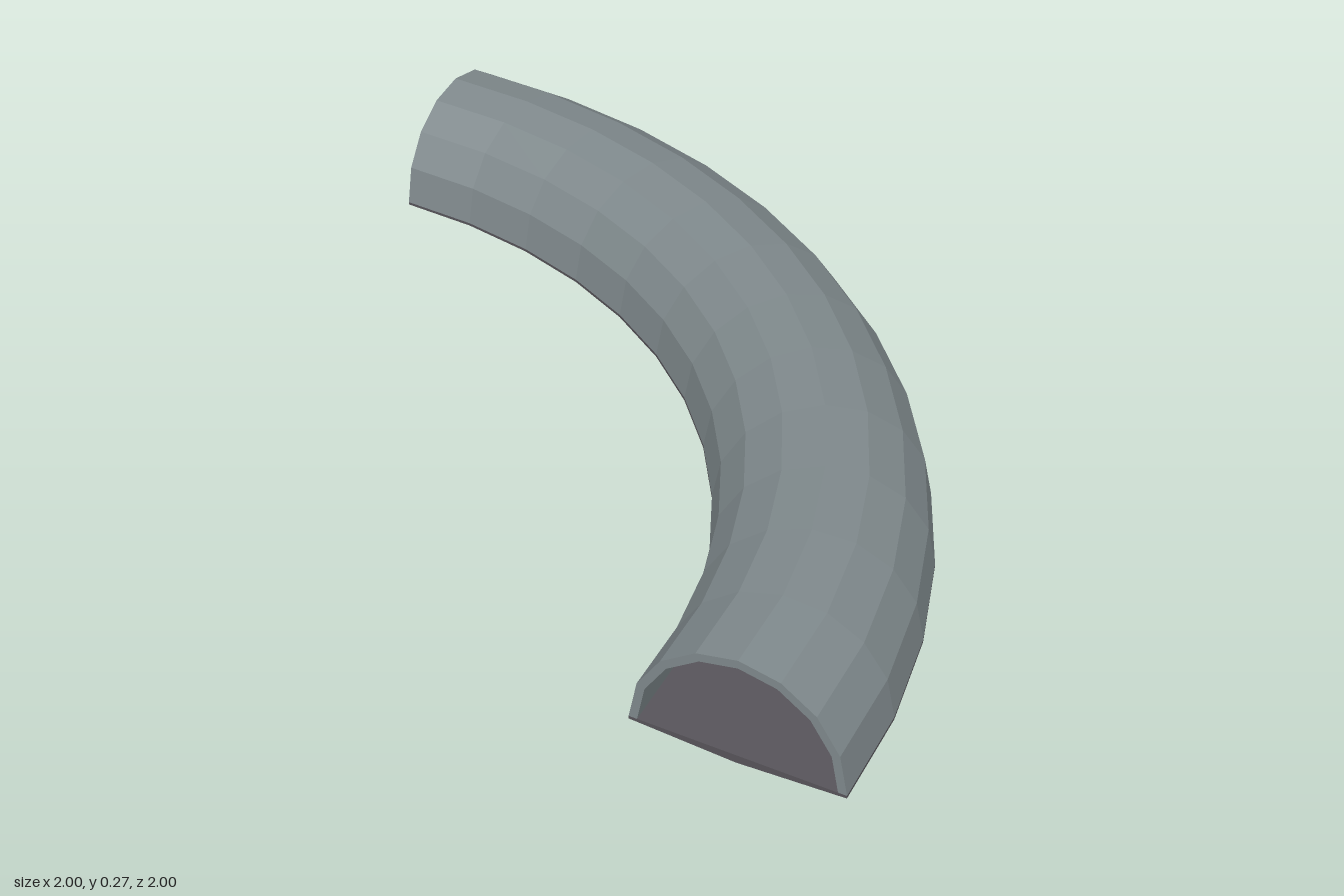
import * as THREE from 'three';

const MID = 1.75, HALF = 0.25, WALL = 0.02, BASE = 0.02, STEPS = 12;

// Sweeps a closed counterclockwise (radius, y) section through a quarter turn and caps both ends
function quarterSweep(name, section, material) {
  const part = new THREE.Group();
  part.name = name;
  const add = (label, geometry) => {
    const flat = geometry.index ? geometry.toNonIndexed() : geometry;
    flat.computeVertexNormals();
    const mesh = new THREE.Mesh(flat, material);
    mesh.name = name + label;
    part.add(mesh);
  };
  add('Body', new THREE.LatheGeometry([...section, section[0]], STEPS, Math.PI / 2, Math.PI / 2));
  add('FrontEnd', new THREE.ShapeGeometry(new THREE.Shape(section)));
  const mirrored = section.map((p) => new THREE.Vector2(-p.x, p.y)).reverse();
  add('SideEnd', new THREE.ShapeGeometry(new THREE.Shape(mirrored)).rotateY(-Math.PI / 2));
  part.position.set(-1, 0, 1); // centre of the bend
  return part;
}

// Points of a half circle from the outer to the inner side of the bend
function halfCircle(radius) {
  return Array.from({ length: 9 }, (_, i) => {
    const a = (i / 8) * Math.PI;
    return new THREE.Vector2(MID + radius * Math.cos(a), BASE + radius * Math.sin(a));
  });
}

export function createModel() {
  const model = new THREE.Group();
  model.name = 'curvedTunnel';

  const shellGrey = new THREE.MeshStandardMaterial({ color: 0x7f898c });
  shellGrey.name = 'shellGrey';
  const floorGrey = new THREE.MeshStandardMaterial({ color: 0x57545a });
  floorGrey.name = 'floorGrey';

  // Thin arched shell
  const arch = [...halfCircle(HALF), ...halfCircle(HALF - WALL).reverse()];
  model.add(quarterSweep('archShell', arch, shellGrey));

  // Floor slab, slightly deeper along its middle
  const floor = [
    [MID - HALF, 0.013], [MID, 0], [MID + HALF, 0.013],
    [MID + HALF, BASE], [MID - HALF, BASE],
  ].map(([r, y]) => new THREE.Vector2(r, y));
  model.add(quarterSweep('floor', floor, floorGrey));

  return model;
}
